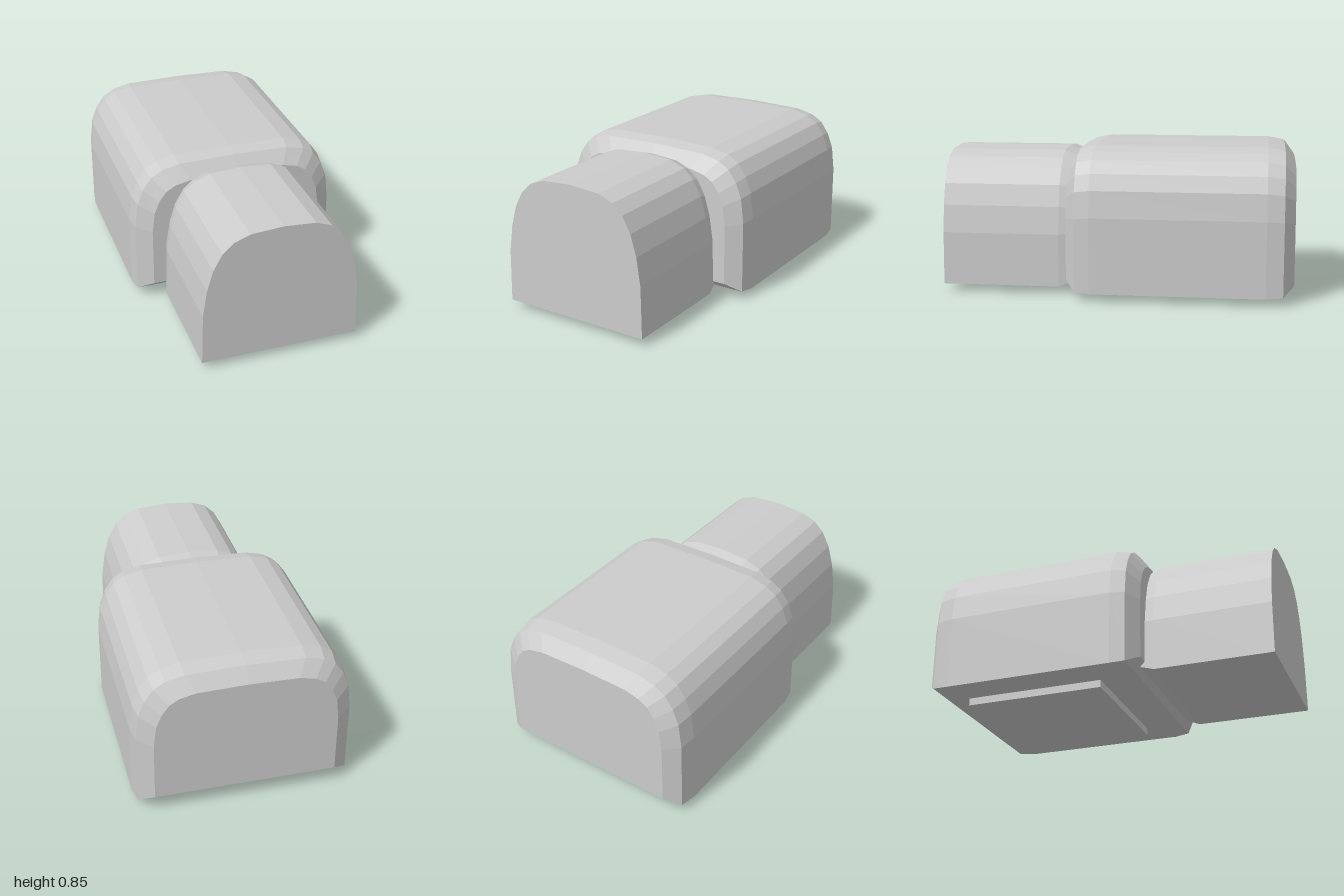
import * as THREE from 'three';

// Right half of an arched outline, bottom to crown; heights run 0..1, widths 0..1
const bodyArch = [[1, 0], [0.997, 0.527], [0.967, 0.712], [0.909, 0.823], [0.826, 0.91], [0.719, 0.959], [0.545, 0.99], [0, 1]];
const neckArch = [[1, 0], [0.985, 0.39], [0.933, 0.593], [0.854, 0.75], [0.742, 0.867], [0.607, 0.939], [0.404, 0.984], [0, 1]];

// Faceted solid through arched sections, each [z, halfWidth, bottom, top], front to back
function archLoft(arch, sections, material, name) {
  const ring = [...arch, ...arch.slice(0, -1).reverse().map(([x, y]) => [-x, y])];
  const n = ring.length;
  const positions = [];
  const index = [];
  for (const [z, w, bottom, top] of sections) {
    for (const [x, y] of ring) positions.push(x * w, bottom + y * (top - bottom), z);
  }
  for (let s = 0; s < sections.length - 1; s++) {
    for (let i = 0; i < n; i++) {
      const a = s * n + i, b = s * n + (i + 1) % n;
      index.push(a, a + n, b, b, a + n, b + n);
    }
  }
  // End caps
  const last = (sections.length - 1) * n;
  for (let i = 1; i < n - 1; i++) {
    index.push(0, i, i + 1, last, last + i + 1, last + i);
  }
  const indexed = new THREE.BufferGeometry();
  indexed.setAttribute('position', new THREE.Float32BufferAttribute(positions, 3));
  indexed.setIndex(index);
  const geometry = indexed.toNonIndexed();
  geometry.computeVertexNormals();
  const mesh = new THREE.Mesh(geometry, material);
  mesh.name = name;
  return mesh;
}

export function createModel() {
  const group = new THREE.Group();
  group.name = 'archedHousing';
  const grey = new THREE.MeshStandardMaterial({ color: 0xcccccc });
  grey.name = 'lightGrey';

  // Large housing with bevelled ends
  group.add(archLoft(bodyArch, [
    [0.275, 0.507, 0.1, 0.755],
    [0.215, 0.592, 0.05, 0.835],
    [0.13, 0.606, 0.043, 0.853],
    [-0.845, 0.606, 0.043, 0.853],
    [-0.94, 0.592, 0.05, 0.835],
    [-1, 0.507, 0.1, 0.755],
  ], grey, 'housing'));

  // Narrower neck, tapering where it enters the housing
  group.add(archLoft(neckArch, [
    [1, 0.445, 0.043, 0.812],
    [0.33, 0.445, 0.043, 0.812],
    [0.25, 0.43, 0.073, 0.783],
    [0.2, 0.38, 0.11, 0.73],
  ], grey, 'neck'));

  // Shallow pad underneath
  const pad = new THREE.Mesh(new THREE.BoxGeometry(0.81, 0.06, 0.81), grey);
  pad.position.set(0, 0.03, -0.4);
  pad.name = 'basePad';
  group.add(pad);

  return group;
}
